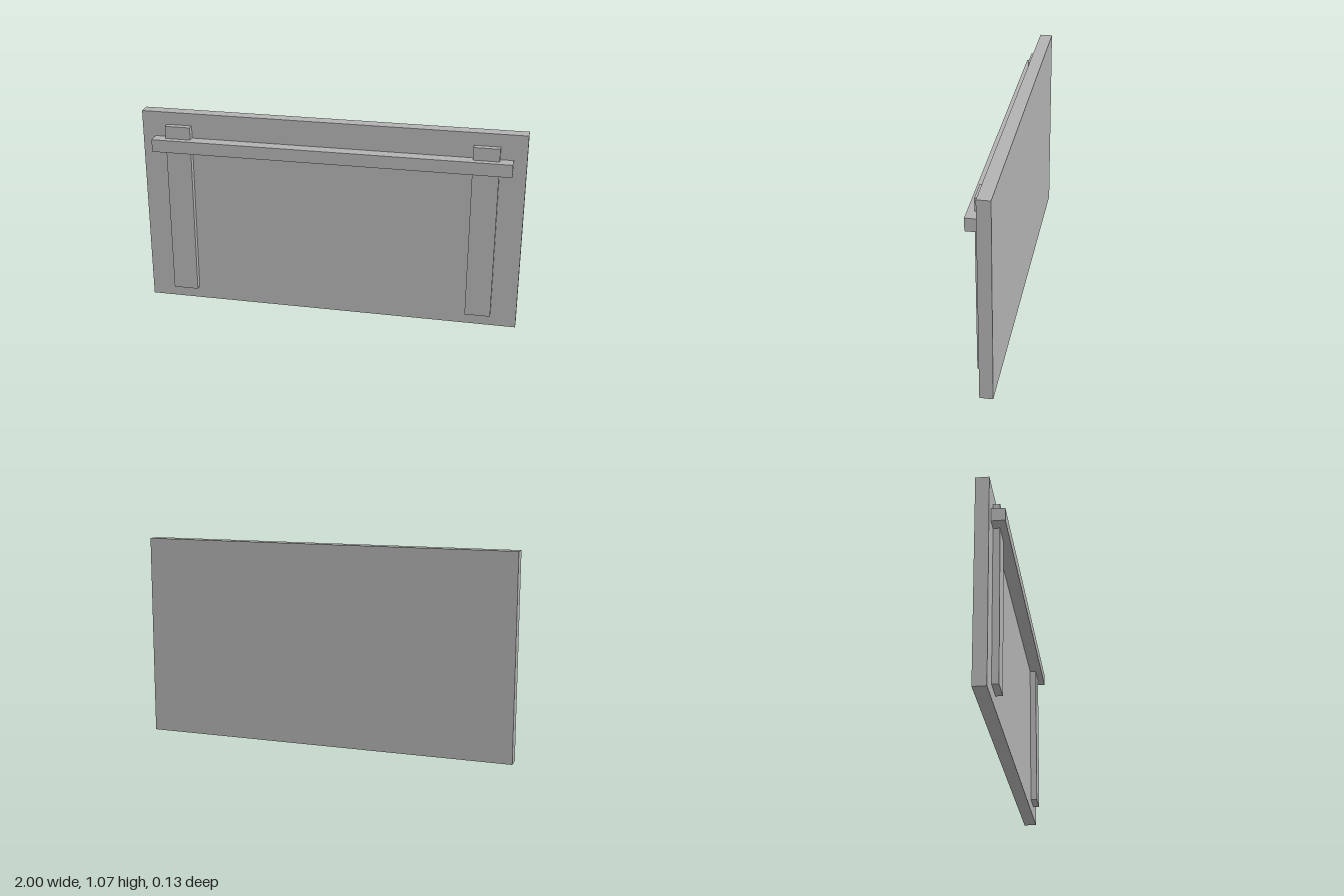
import * as THREE from 'three';

export function createModel() {
  const model = new THREE.Group();
  const grey = new THREE.MeshStandardMaterial({ color: 0xb2b2b2 });
  grey.name = 'plain grey';

  const U = 1 / 15; // plank thickness, the module of all sizes

  // Box given by its size and the centre of its bottom back edge
  function board(name, w, h, d, x, y, z) {
    const mesh = new THREE.Mesh(new THREE.BoxGeometry(w, h, d), grey);
    mesh.name = name;
    mesh.position.set(x, y + h / 2, z + d / 2);
    model.add(mesh);
  }

  // Large backing panel
  board('panel', 2, 16 * U, U, 0, 0, -U);

  // Upright battens on the front
  for (const side of [-1, 1]) {
    board(side < 0 ? 'rightBatten' : 'leftBatten', 2 * U, 14 * U, U / 2, side * 12 * U, U, 0);
  }

  // Crossbar over the battens
  board('crossbar', 28 * U, U, U, 0, 13 * U, 0);

  return model;
}
